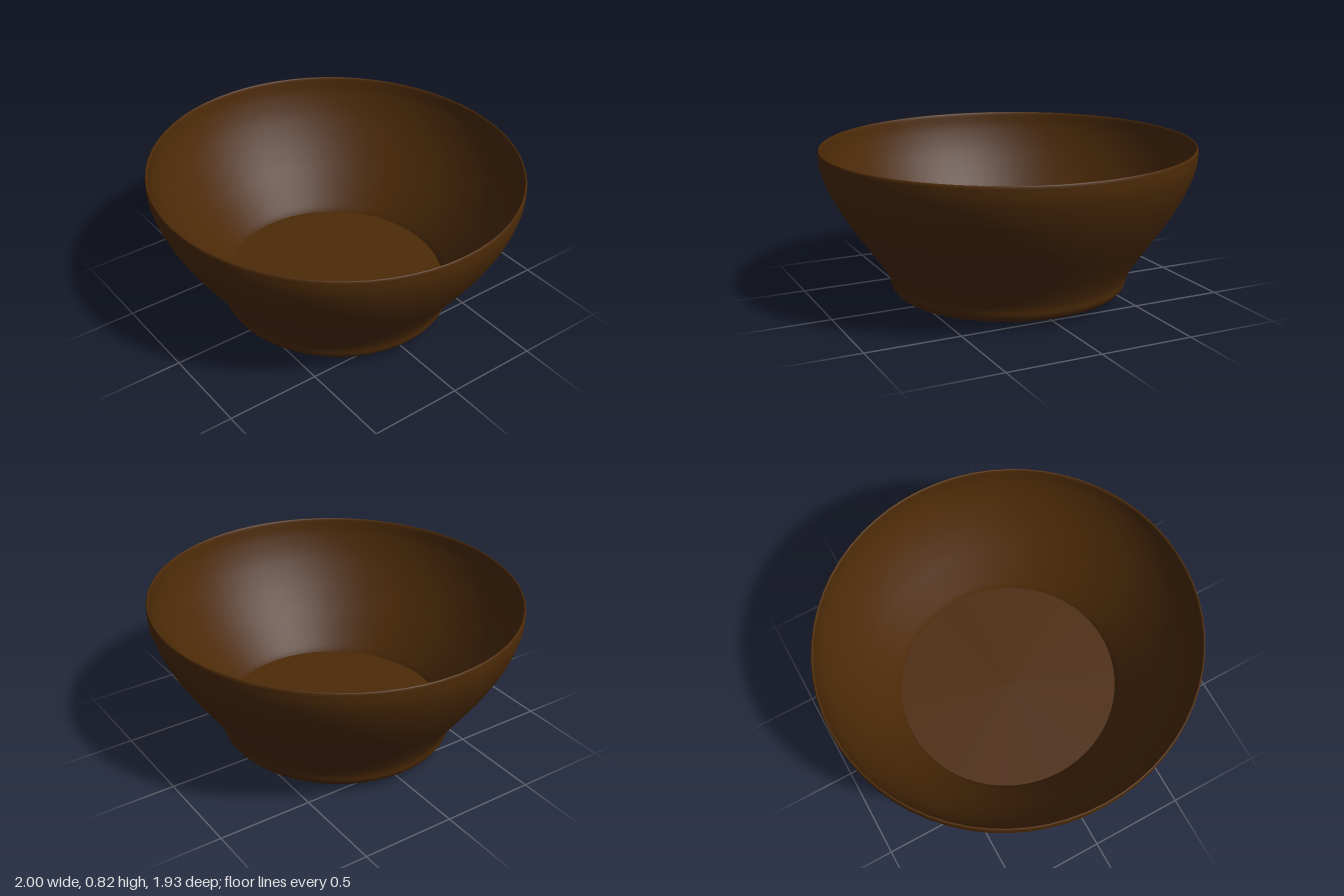
import * as THREE from 'three';

// Smooth a few [radius, height] points into a lathe profile
function profile(points, divisions) {
  const curve = new THREE.SplineCurve(points.map(([r, y]) => new THREE.Vector2(r, y)));
  const result = curve.getPoints(divisions);
  result.forEach((p) => { p.x = Math.max(p.x, 0); });
  return result;
}

export function createModel() {
  const bowl = new THREE.Group();
  bowl.name = 'bowl';
  const wood = new THREE.MeshStandardMaterial({ color: 0x4c2a08 });
  wood.name = 'dark brown wood';

  // Each part is turned on a lathe and made slightly oval
  const turn = (name, points) => {
    const geometry = new THREE.LatheGeometry(points, 64);
    geometry.scale(1, 1, 0.968);
    const mesh = new THREE.Mesh(geometry, wood);
    mesh.name = name;
    bowl.add(mesh);
  };

  // Shallow domed underside flowing into the flared outer wall
  turn('outerWall', profile([
    [0, 0.005], [0.25, 0.01], [0.47, 0.024], [0.59, 0.043], [0.63, 0.075],
    [0.645, 0.13], [0.685, 0.205], [0.75, 0.3], [0.822, 0.4], [0.893, 0.51],
    [0.955, 0.63], [0.992, 0.74], [0.998, 0.815],
  ], 60));

  // Thin rounded lip
  turn('rim', profile([[0.998, 0.815], [0.996, 0.826], [0.991, 0.83], [0.986, 0.826], [0.983, 0.815]], 10));

  // Inside wall, steepening at the rim and where it meets the floor
  turn('innerWall', profile([
    [0.983, 0.815], [0.97, 0.74], [0.93, 0.63], [0.868, 0.515], [0.795, 0.405],
    [0.72, 0.305], [0.652, 0.215], [0.615, 0.165], [0.6, 0.14],
  ], 40));

  // Flat inside floor with a crisp edge
  turn('floor', [new THREE.Vector2(0.6, 0.14), new THREE.Vector2(0, 0.14)]);

  return bowl;
}
